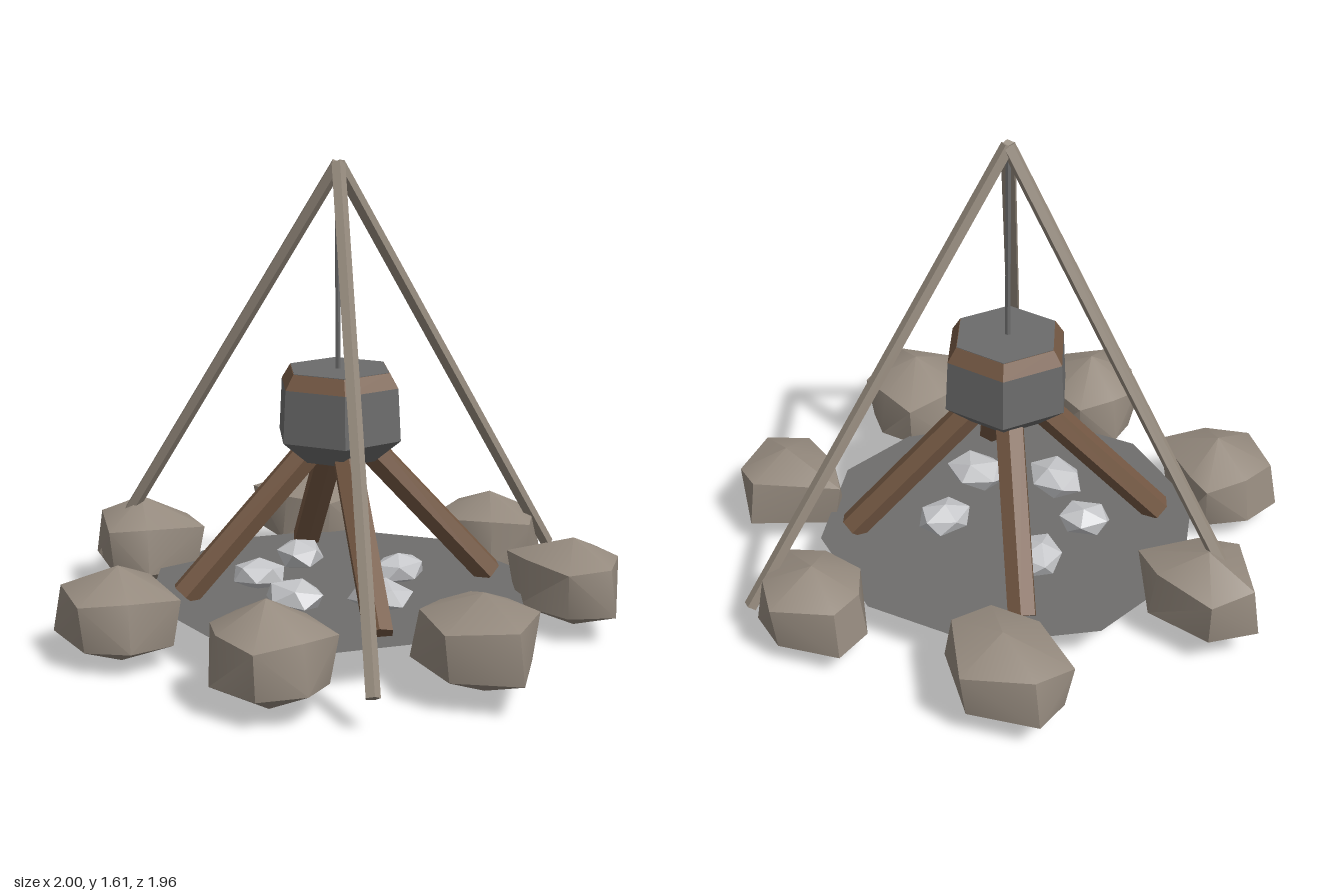
import * as THREE from 'three';
import { toCreasedNormals } from 'three/addons/utils/BufferGeometryUtils.js';
import { ConvexGeometry } from 'three/addons/geometries/ConvexGeometry.js';

const CX = -0.045; // axis of the fire pit and tripod

function material(name, color, extra = {}) {
  const m = new THREE.MeshStandardMaterial({ color, ...extra });
  m.name = name;
  return m;
}

export function createModel() {
  const model = new THREE.Group();
  model.name = 'campfire';
  const stone = material('stone', 0x968b7f);
  const pole = material('poleWood', 0x958a7d);
  const log = material('logWood', 0x745843);
  const iron = material('iron', 0x6b6b6b);
  const ground = material('ground', 0x6f6e6c, { side: THREE.DoubleSide });
  const ash = material('ash', 0xc6c7ca);

  function add(name, geometry, mat, crease = 0.05) {
    const mesh = new THREE.Mesh(toCreasedNormals(geometry, crease), mat);
    mesh.name = name;
    model.add(mesh);
    return mesh;
  }

  // Straight faceted rod between two points
  function rod(name, from, to, radius, sides, mat) {
    const a = new THREE.Vector3(...from), b = new THREE.Vector3(...to);
    const mesh = add(name, new THREE.CylinderGeometry(radius, radius, a.distanceTo(b), sides), mat);
    mesh.position.copy(a).add(b).multiplyScalar(0.5);
    mesh.quaternion.setFromUnitVectors(new THREE.Vector3(0, 1, 0), b.sub(a).normalize());
  }

  // Angular stone: plan outline on two levels, with a peak and a base point
  function boulder(name, [cx, cz], outline, bottom, top) {
    const mid = (bottom + top) / 2, points = [];
    outline.forEach(([x, z], i) => {
      const s = i % 2 ? 1 : -1;
      points.push(new THREE.Vector3(x, mid + s * 0.075, z));
      points.push(new THREE.Vector3(cx + (x - cx) * 0.87, mid - s * 0.085, cz + (z - cz) * 0.87));
    });
    points.push(new THREE.Vector3(cx, top, cz), new THREE.Vector3(cx + 0.01, bottom, cz));
    add(name, new ConvexGeometry(points), stone, 0.6);
  }

  // Fire bed
  const bed = add('fireBed', new THREE.CircleGeometry(0.665, 10).rotateX(-Math.PI / 2), ground);
  bed.position.set(-0.055, 0.15, 0.005);

  // Ring of stones
  const stones = [
    [[-0.19, -0.79], [[-0.4, -0.79], [-0.25, -0.965], [-0.09, -0.955], [0.03, -0.8], [-0.03, -0.67], [-0.18, -0.615], [-0.33, -0.66]], 0.015, 0.33],
    [[0.46, -0.625], [[0.675, -0.63], [0.52, -0.78], [0.39, -0.8], [0.245, -0.51], [0.38, -0.45], [0.59, -0.49]], 0.03, 0.34],
    [[0.775, 0.03], [[0.55, 0.05], [0.55, -0.1], [0.68, -0.16], [0.83, -0.155], [1, 0.05], [0.83, 0.225], [0.59, 0.175]], 0.04, 0.36],
    [[0.46, 0.625], [[0.245, 0.615], [0.285, 0.48], [0.42, 0.43], [0.62, 0.465], [0.675, 0.615], [0.62, 0.775], [0.43, 0.815], [0.3, 0.73]], 0.015, 0.37],
    [[-0.18, 0.79], [[-0.385, 0.8], [-0.35, 0.64], [-0.26, 0.61], [0.02, 0.67], [0.015, 0.855], [-0.1, 0.98], [-0.34, 0.95]], 0.01, 0.335],
    [[-0.76, 0.38], [[-0.945, 0.47], [-0.92, 0.295], [-0.69, 0.2], [-0.55, 0.24], [-0.57, 0.46], [-0.675, 0.56]], 0.04, 0.37],
    [[-0.775, -0.385], [[-1, -0.37], [-0.835, -0.565], [-0.555, -0.485], [-0.565, -0.32], [-0.71, -0.2], [-0.955, -0.225]], 0.045, 0.34],
  ];
  stones.forEach((s, i) => boulder(`ringStone${i + 1}`, ...s));

  // Pale ash lumps: x, z, half length, turn
  [[0.215, 0.015, 0.12, 0.5], [0.05, 0.25, 0.12, 0.1], [-0.21, 0.225, 0.1, 0.9],
    [-0.32, -0.02, 0.11, 2.6], [0.02, -0.21, 0.105, 1.7]].forEach(([x, z, r, turn], i) => {
    const lump = add(`ashLump${i + 1}`, new THREE.IcosahedronGeometry(1).rotateX(0.55 + 0.1 * i).scale(r, 0.055, r * 0.8), ash);
    lump.position.set(x, 0.19, z);
    lump.rotation.y = turn;
  });

  // Four leaning logs under the pot
  for (let i = 0; i < 4; i++) {
    const a = 0.375 + i * Math.PI / 2, c = Math.cos(a), s = Math.sin(a);
    rod(`log${i + 1}`, [CX + c * 0.54, 0.16, s * 0.54], [CX + c * 0.06, 0.69, s * 0.06], 0.052, 6, log);
  }

  // Six-sided pot: tapered base, body, wooden rim and flat lid
  [['potBase', 0.228, 0.132, 0.61, 0.69, iron], ['potBody', 0.218, 0.228, 0.69, 0.87, iron],
    ['potRim', 0.186, 0.218, 0.87, 0.92, log], ['potLid', 0.184, 0.184, 0.91, 0.922, iron],
  ].forEach(([name, rTop, rBottom, y0, y1, mat]) => {
    const part = add(name, new THREE.CylinderGeometry(rTop, rBottom, y1 - y0, 6), mat);
    part.position.set(CX, (y0 + y1) / 2, 0);
  });

  // Tripod and hanging rod
  const apex = [CX, 1.61, 0.005];
  rod('tripodLegLeft', [0.805, 0.125, 0.475], apex, 0.025, 5, pole);
  rod('tripodLegRight', [-0.87, 0.14, 0.48], apex, 0.025, 5, pole);
  rod('tripodLegBack', [-0.06, 0.13, -0.965], apex, 0.025, 5, pole);
  rod('hangingRod', [CX, 0.9, 0.005], [CX, 1.59, 0.005], 0.01, 6, iron);

  return model;
}
